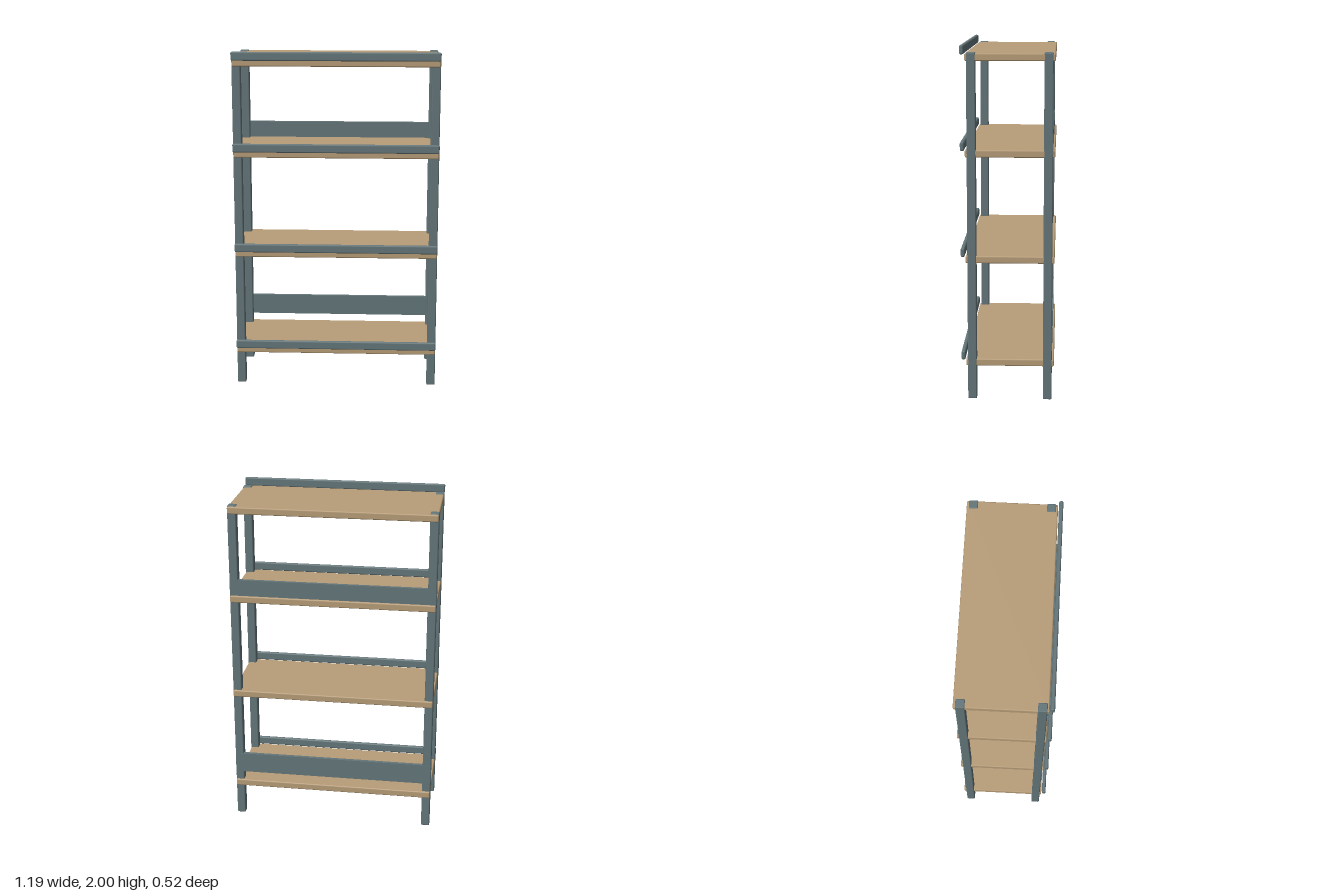
import * as THREE from 'three';
import { RoundedBoxGeometry } from 'three/addons/geometries/RoundedBoxGeometry.js';

const wood = new THREE.MeshStandardMaterial({ name: 'wood', color: 0xb89d78 });
const slate = new THREE.MeshStandardMaterial({ name: 'slatePaint', color: 0x64767a });

// Box given by its extents, with an optional small edge bevel
function block(name, material, [x0, x1], [y0, y1], [z0, z1], bevel = 0) {
  const size = [x1 - x0, y1 - y0, z1 - z0];
  const geometry = bevel
    ? new RoundedBoxGeometry(...size, 1, bevel)
    : new THREE.BoxGeometry(...size);
  const mesh = new THREE.Mesh(geometry, material);
  mesh.name = name;
  mesh.position.set((x0 + x1) / 2, (y0 + y1) / 2, (z0 + z1) / 2);
  return mesh;
}

export function createModel() {
  const group = new THREE.Group();
  group.name = 'shelvingUnit';

  // Four corner posts
  for (const [side, x] of [['left', 0.57], ['right', -0.57]]) {
    for (const [end, z] of [['Front', 0.2], ['Back', -0.225]]) {
      group.add(block(`${side}${end}Post`, slate,
        [x - 0.025, x + 0.025], [0, 1.961], [z - 0.025, z + 0.025], 0.006));
    }
  }

  // Shelves, each with a rail along the front edge
  [0.195, 0.792, 1.388, 1.915].forEach((y, i) => {
    group.add(block(`shelf${i + 1}`, wood,
      [-0.593, 0.593], [y, y + 0.041], [-0.262, 0.235], 0.007));
    group.add(block(`frontRail${i + 1}`, slate,
      [-0.595, 0.595], [y + 0.035, y + 0.085], [0.239, 0.262], 0.008));
  });

  // Back panels across the rear posts
  group.add(block('lowerBackPanel', slate, [-0.594, 0.594], [0.288, 0.41], [-0.251, -0.231]));
  group.add(block('upperBackPanel', slate, [-0.594, 0.594], [1.403, 1.524], [-0.251, -0.231]));

  return group;
}
